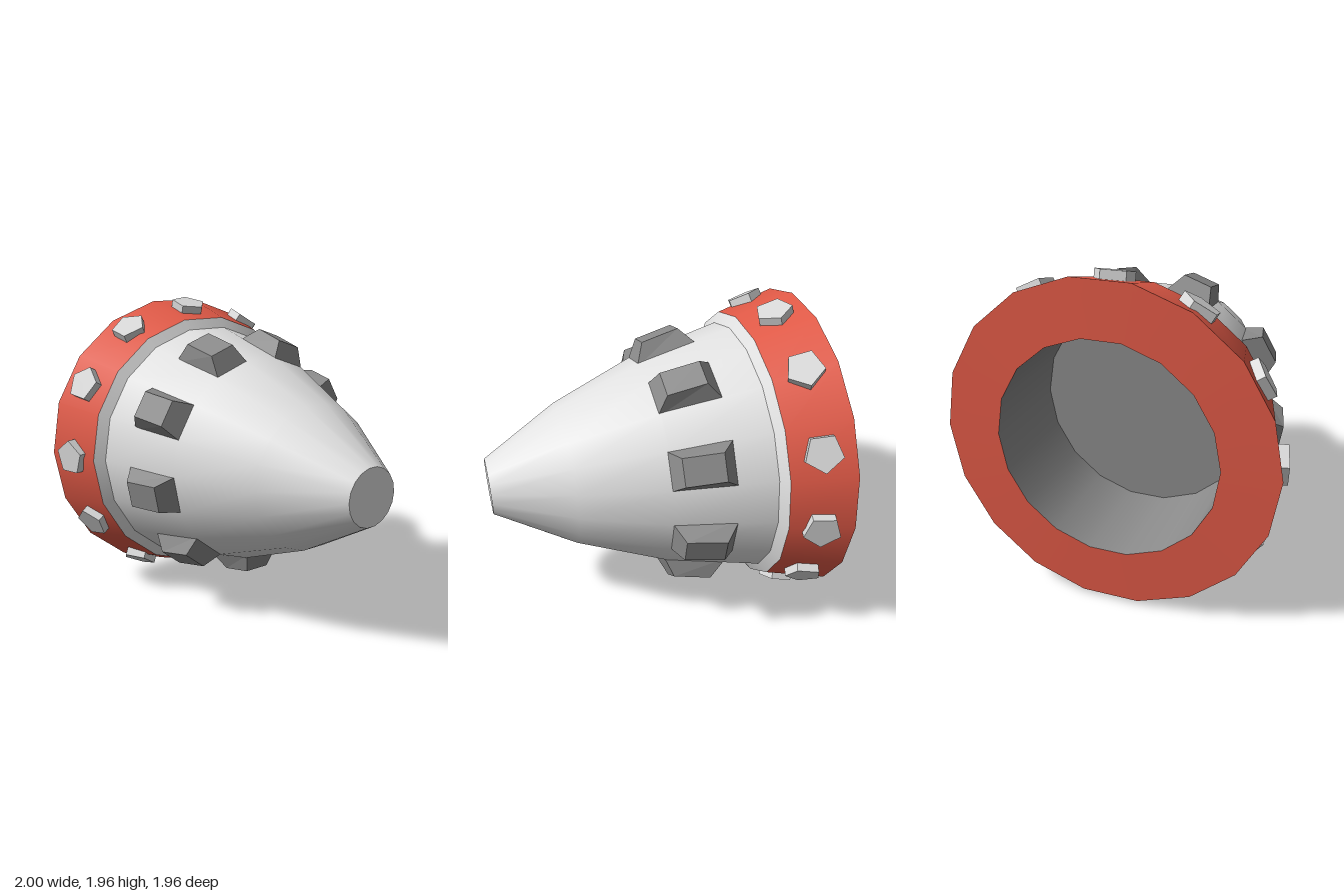
import * as THREE from 'three';

const SIDES = 18;

// Revolves [x, radius] points round the x axis
function revolve(name, points, material) {
  const geo = new THREE.LatheGeometry(points.map(([x, r]) => new THREE.Vector2(r, x)), SIDES);
  geo.rotateZ(-Math.PI / 2);
  const mesh = new THREE.Mesh(geo, material);
  mesh.name = name;
  return mesh;
}

// Tapered block: base and top are each four [x, y, z] corners, in matching order
function taperedBlock(base, top) {
  const pos = [];
  const quad = (a, b, c, d) => [a, b, c, a, c, d].forEach((p) => pos.push(...p));
  quad(...top);
  quad(base[3], base[2], base[1], base[0]);
  for (let i = 0; i < 4; i++) {
    const j = (i + 1) % 4;
    quad(base[i], base[j], top[j], top[i]);
  }
  const geo = new THREE.BufferGeometry();
  geo.setAttribute('position', new THREE.Float32BufferAttribute(pos, 3));
  geo.computeVertexNormals();
  return geo;
}

export function createModel() {
  const mat = (name, color) => {
    const m = new THREE.MeshStandardMaterial({ color });
    m.name = name;
    return m;
  };
  const lightGrey = mat('light grey', 0xe2e2e2);
  const darkGrey = mat('dark grey', 0x8c8c8c);
  const red = mat('red', 0xe25a47);
  const paleGrey = mat('pale grey', 0xd8d8d8);

  const model = new THREE.Group();
  model.name = 'drillCone';
  const core = new THREE.Group();
  core.name = 'core';
  core.position.y = 0.982;
  model.add(core);

  // Cone, its blunt tip and the bevelled shoulder
  core.add(
    revolve('coneBody', [[-0.58, 0.8], [0, 0.66], [0.53, 0.447], [1, 0.175]], lightGrey),
    revolve('coneTip', [[1, 0.175], [1, 0]], lightGrey),
    revolve('shoulder', [[-0.62, 0.864], [-0.58, 0.8]], lightGrey),
  );

  // Red collar and the socket in its back
  core.add(
    revolve('collar', [[-0.99, 0.968], [-0.62, 0.864]], red),
    revolve('collarBack', [[-1, 0.645], [-0.99, 0.968]], red),
    revolve('socketWall', [[-0.37, 0.645], [-1, 0.645]], darkGrey),
    revolve('socketFloor', [[-0.37, 0], [-0.37, 0.645]], darkGrey),
  );

  // Nine cutter blocks round the cone, built pointing up and turned about x
  const blockGeo = taperedBlock(
    [[-0.372, 0.712, 0.142], [0.018, 0.625, 0.12], [0.018, 0.625, -0.12], [-0.372, 0.712, -0.142]],
    [[-0.266, 0.82, 0.083], [-0.035, 0.765, 0.083], [-0.035, 0.765, -0.083], [-0.266, 0.82, -0.083]],
  );
  for (let i = 0; i < 9; i++) {
    const block = new THREE.Mesh(blockGeo, darkGrey);
    block.name = 'cutterBlock';
    block.rotation.x = Math.PI + (i * Math.PI * 2) / 9;
    core.add(block);
  }

  // Twelve five-sided studs, leaning with the slope of the collar
  const studGeo = new THREE.CylinderGeometry(0.114, 0.114, 0.1, 5).toNonIndexed();
  studGeo.rotateY(Math.PI); // one corner points to -z
  studGeo.computeVertexNormals();
  studGeo.rotateZ(-0.27);
  studGeo.translate(-0.806, 0.903, 0);
  for (let i = 0; i < 12; i++) {
    const stud = new THREE.Mesh(studGeo, paleGrey);
    stud.name = 'stud';
    stud.rotation.x = (i * Math.PI) / 6;
    core.add(stud);
  }
  return model;
}
